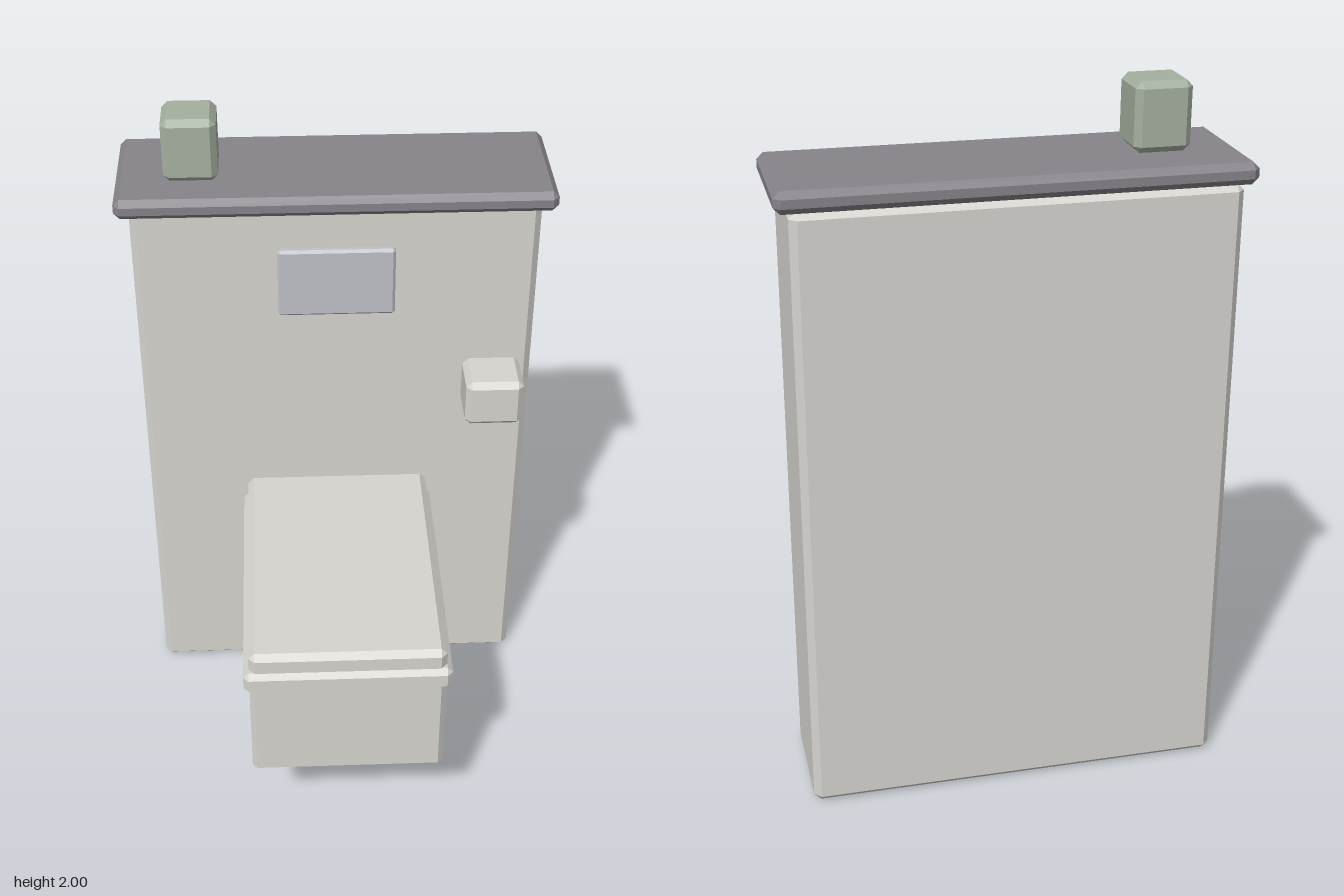
import * as THREE from 'three';
import { ConvexGeometry } from 'three/addons/geometries/ConvexGeometry.js';

const material = (color) => new THREE.MeshStandardMaterial({ color });

// Box with flat chamfered edges: 24 points, three per corner
function chamferBox(w, h, d, c) {
  const points = [];
  for (const sx of [-1, 1]) for (const sy of [-1, 1]) for (const sz of [-1, 1]) {
    const [x, y, z] = [w / 2, h / 2, d / 2];
    points.push(
      new THREE.Vector3(sx * x, sy * (y - c), sz * (z - c)),
      new THREE.Vector3(sx * (x - c), sy * y, sz * (z - c)),
      new THREE.Vector3(sx * (x - c), sy * (y - c), sz * z));
  }
  return new ConvexGeometry(points);
}

export function createModel() {
  const group = new THREE.Group();
  const ceramic = material(0xd6d4cf);
  const slate = material(0x86838a);
  const steel = material(0xbfc1c8);
  const green = material(0xa5b09f);

  // Each part is given by its extents along x, y and z
  function part(name, mat, [x0, x1], [y0, y1], [z0, z1], chamfer) {
    const mesh = new THREE.Mesh(chamferBox(x1 - x0, y1 - y0, z1 - z0, chamfer), mat);
    mesh.position.set((x0 + x1) / 2, (y0 + y1) / 2, (z0 + z1) / 2);
    mesh.name = name;
    group.add(mesh);
  }

  // Wall unit and its top shelf
  part('wallPanel', ceramic, [-0.595, 0.595], [0, 1.755], [-0.595, -0.245], 0.02);
  part('shelf', slate, [-0.632, 0.632], [1.75, 1.81], [-0.6, -0.187], 0.018);
  part('shelfPot', green, [-0.492, -0.335], [1.81, 2.0], [-0.452, -0.296], 0.018);

  // Fittings on the front of the wall
  part('flushPlate', steel, [-0.173, 0.173], [1.4, 1.62], [-0.265, -0.225], 0.008);
  part('paperHolder', ceramic, [0.385, 0.56], [1.07, 1.222], [-0.275, -0.098], 0.018);

  // Wall-hung bowl, seat and lid, set into the wall
  part('bowl', ceramic, [-0.284, 0.284], [0.31, 0.67], [-0.3, 0.58], 0.015);
  part('seat', ceramic, [-0.3, 0.3], [0.645, 0.718], [-0.3, 0.595], 0.016);
  part('lid', ceramic, [-0.284, 0.284], [0.69, 0.778], [-0.3, 0.58], 0.018);

  return group;
}
